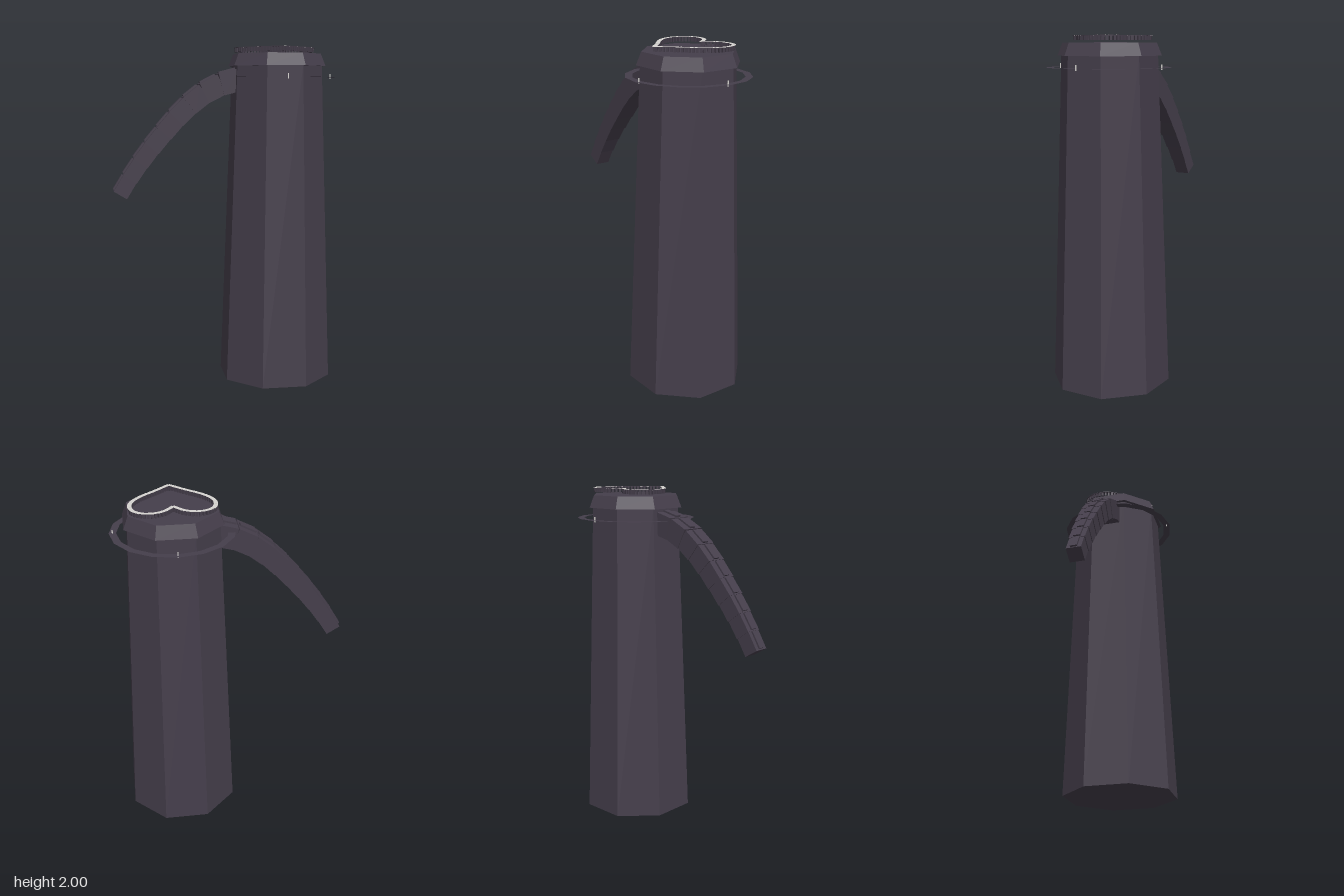
import * as THREE from 'three';

const CX = 0.31; // body axis

export function createModel() {
  const group = new THREE.Group();
  const dark = new THREE.MeshStandardMaterial({ color: 0x453e4b, flatShading: true });
  const darkSheet = new THREE.MeshStandardMaterial({ color: 0x453e4b, flatShading: true, side: THREE.DoubleSide });
  const pale = new THREE.MeshStandardMaterial({ color: 0xd6d4d0, flatShading: true });

  const add = (name, geometry, material, parent = group) => {
    const mesh = new THREE.Mesh(geometry, material);
    mesh.name = name;
    parent.add(mesh);
    return mesh;
  };
  const subgroup = (name) => {
    const g = new THREE.Group();
    g.name = name;
    group.add(g);
    return g;
  };

  // Octagonal frustum with flats facing the axes; sizes are centre-to-flat
  const octagon = (name, top, bottom, y0, y1) => {
    const k = 1 / Math.cos(Math.PI / 8);
    const geo = new THREE.CylinderGeometry(top * k, bottom * k, y1 - y0, 8, 1, false, Math.PI / 8);
    add(name, geo, dark).position.set(CX, (y0 + y1) / 2, 0);
  };
  octagon('body', 0.252, 0.317, 0, 1.89);
  octagon('cap', 0.245, 0.272, 1.885, 1.957);

  // Flat ring around the neck, with four tiny upright pins
  const ring = add('neckRing', new THREE.RingGeometry(0.312, 0.353, 16), darkSheet);
  ring.rotation.x = -Math.PI / 2;
  ring.position.set(CX, 1.82, 0);
  const pins = subgroup('ringPins');
  for (let i = 0; i < 4; i++) {
    const a = i * Math.PI / 2;
    add('ringPin', new THREE.BoxGeometry(0.006, 0.03, 0.006), pale, pins)
      .position.set(CX + 0.332 * Math.cos(a), 1.825, 0.332 * Math.sin(a));
  }

  // Curved arm of stepped, tapering blocks with a narrow spine
  const arm = subgroup('arm');
  const armPath = new THREE.CatmullRomCurve3([
    [0.08, 1.805], [-0.06, 1.765], [-0.15, 1.71], [-0.25, 1.625],
    [-0.35, 1.515], [-0.45, 1.395], [-0.545, 1.265], [-0.627, 1.133],
  ].map(([x, y]) => new THREE.Vector3(x, y, 0)));
  const N = 9;
  for (let i = 0; i < N; i++) {
    const a = armPath.getPointAt(i / N), b = armPath.getPointAt((i + 1) / N);
    const t = i / (N - 1);
    const length = a.distanceTo(b), height = 0.13 - 0.04 * t, width = 0.15 - 0.062 * t;
    const segment = new THREE.Group();
    segment.name = 'armSegment';
    segment.position.copy(a).add(b).multiplyScalar(0.5);
    segment.rotation.z = Math.atan2(a.y - b.y, a.x - b.x);
    arm.add(segment);
    add('armBlock', new THREE.BoxGeometry(length + 0.006, height, width), dark, segment);
    add('armSpine', new THREE.BoxGeometry(length - 0.01, 0.012, 0.04), dark, segment)
      .position.y = height / 2 + 0.004;
  }

  // Heart outline: right half as (x, z), mirrored for the left
  const half = [[0, 0.23], [0.083, 0.149], [0.17, 0.07], [0.218, 0], [0.232, -0.06],
    [0.217, -0.125], [0.175, -0.163], [0.118, -0.173], [0.055, -0.15], [0, -0.09]];
  const right = new THREE.CatmullRomCurve3(half.map(([x, z]) => new THREE.Vector3(x, 0, z)));
  const steps = 36;
  const pts = right.getSpacedPoints(steps);
  const heart = subgroup('heart');
  heart.position.x = CX;
  for (const side of [1, -1]) {
    for (let i = 0; i < steps; i++) {
      const a = pts[i], b = pts[i + 1];
      const x = side * (a.x + b.x) / 2, z = (a.z + b.z) / 2;
      const angle = Math.atan2(-(b.z - a.z), side * (b.x - a.x));
      const length = a.distanceTo(b);
      const strip = add('heartStrip', new THREE.BoxGeometry(length + 0.006, 0.003, 0.024), 
        [pale, pale, pale, dark, dark, dark], heart);
      strip.position.set(x, 1.994 + (i % 2) * 0.0005, z);
      strip.rotation.y = angle;
      // Small dark feet beneath the outline
      const foot = add('heartFoot', new THREE.BoxGeometry(length * 0.6, 0.024, 0.016), dark, heart);
      foot.position.set(x, 1.981, z);
      foot.rotation.y = angle;
    }
  }
  return group;
}
